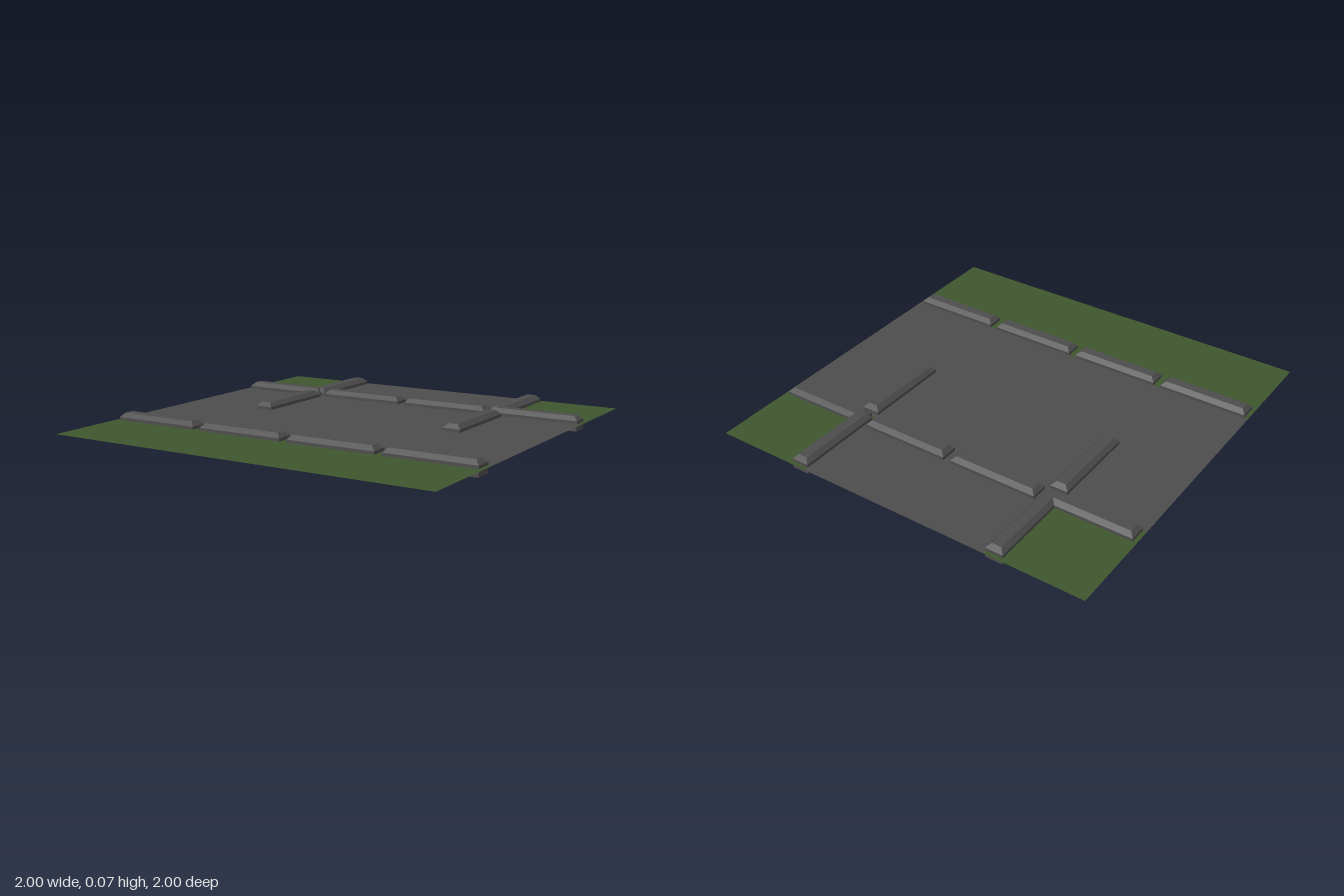
import * as THREE from 'three';

const stone = new THREE.MeshStandardMaterial({ color: 0x4d4d4d, flatShading: true });
stone.name = 'dark stone';
const road = new THREE.MeshStandardMaterial({ color: 0x4d4d4d, side: THREE.DoubleSide });
road.name = 'asphalt grey';
const grass = new THREE.MeshStandardMaterial({ color: 0x3f562e, side: THREE.DoubleSide });
grass.name = 'grass green';

const GROUND_Y = 0.036, OFFSET = 0.542;
const LENGTH = 0.46, WIDTH = 0.09, HEIGHT = 0.072, BEVEL = 0.021;

// Kerb block: a box whose upper rim is chamfered inwards
function kerbGeometry() {
  const geo = new THREE.BoxGeometry(LENGTH, HEIGHT, WIDTH, 1, 2, 1);
  const p = geo.attributes.position;
  for (let i = 0; i < p.count; i++) {
    const y = p.getY(i);
    if (y > 0.01) {
      p.setX(i, p.getX(i) - Math.sign(p.getX(i)) * BEVEL);
      p.setZ(i, p.getZ(i) - Math.sign(p.getZ(i)) * BEVEL);
    } else if (y > -0.01) {
      p.setY(i, HEIGHT / 2 - BEVEL);
    }
  }
  geo.translate(0, HEIGHT / 2, 0);
  geo.computeVertexNormals();
  return geo;
}

// Flat ground patch between two corners
function patch(name, material, x0, x1, z0, z1) {
  const geo = new THREE.PlaneGeometry(x1 - x0, z1 - z0).rotateX(-Math.PI / 2);
  const mesh = new THREE.Mesh(geo, material);
  mesh.name = name;
  mesh.position.set((x0 + x1) / 2, GROUND_Y, (z0 + z1) / 2);
  return mesh;
}

export function createModel() {
  const model = new THREE.Group();
  model.name = 'roadJunction';

  // Ground: a crossing road with a branch to the back, and grass verges
  model.add(
    patch('mainRoad', road, -1, 1, -0.5, 0.5),
    patch('branchRoad', road, -0.5, 0.5, -1, -0.5),
    patch('frontVerge', grass, -1, 1, 0.5, 1),
    patch('backRightVerge', grass, -1, -0.5, -1, -0.5),
    patch('backLeftVerge', grass, 0.5, 1, -1, -0.5)
  );

  const geo = kerbGeometry();
  const addKerb = (name, x, z, turned) => {
    const mesh = new THREE.Mesh(geo, stone);
    mesh.name = name;
    mesh.position.set(x, 0, z);
    if (turned) mesh.rotation.y = Math.PI / 2;
    model.add(mesh);
  };

  // Kerbs along the main road
  for (const x of [-0.75, -0.25, 0.25, 0.75]) {
    addKerb('frontKerb', x, OFFSET, false);
    addKerb('backKerb', x, -OFFSET, false);
  }
  // Kerbs along the branch, running on into the main road
  for (const x of [-OFFSET, OFFSET]) {
    for (const z of [-0.75, -0.25]) addKerb('branchKerb', x, z, true);
  }
  return model;
}
